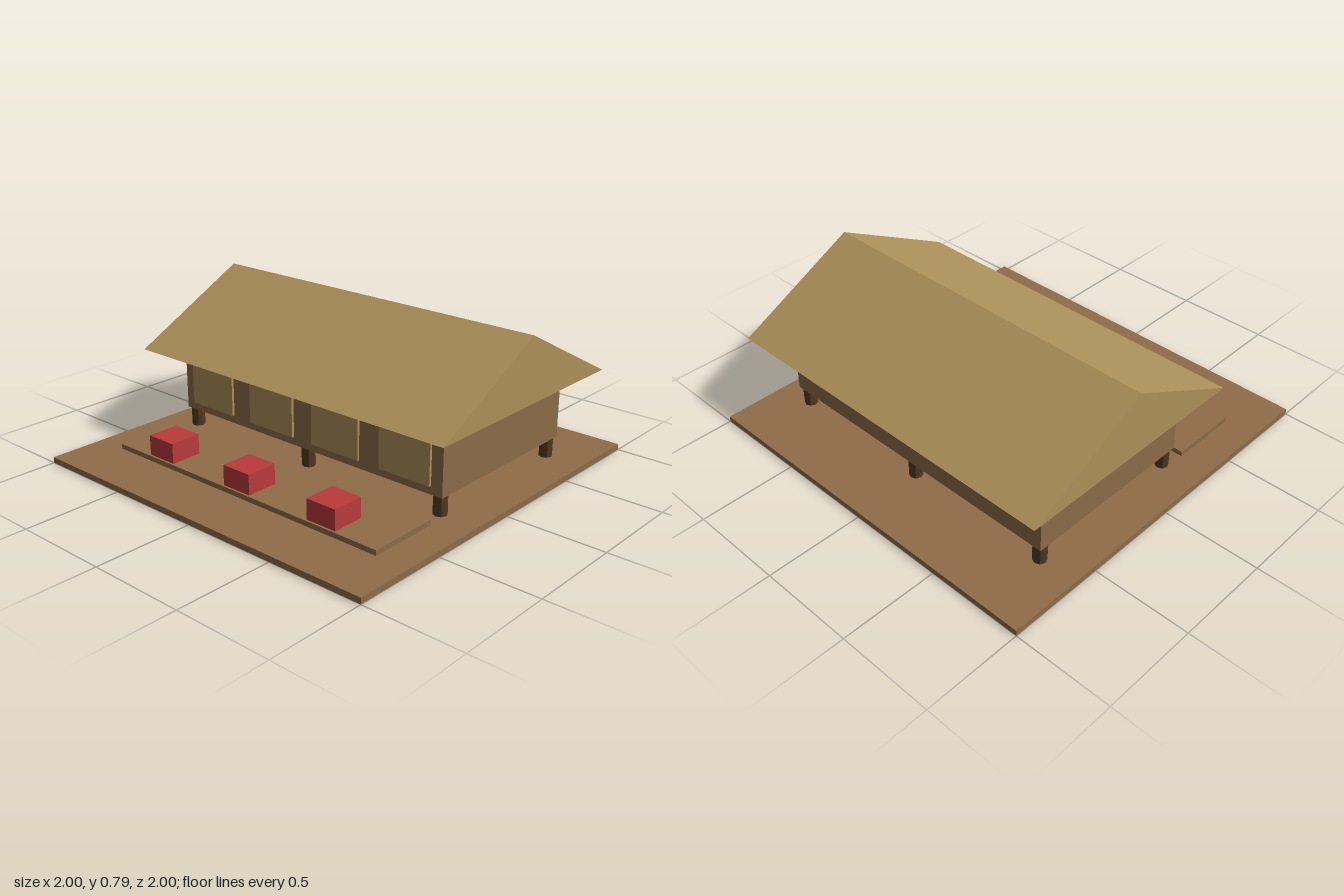
import * as THREE from 'three';

const mat = (name, color) => {
  const m = new THREE.MeshStandardMaterial({ color });
  m.name = name;
  return m;
};

export function createModel() {
  const wood = mat('brown wood', 0x8f6d49);
  const thatch = mat('straw', 0xb0935b);
  const darkWood = mat('dark wood', 0x543a22);
  const red = mat('red', 0xbb3b3c);

  const model = new THREE.Group();
  model.name = 'stiltHouse';

  const add = (name, geometry, material) => {
    const mesh = new THREE.Mesh(geometry, material);
    mesh.name = name;
    model.add(mesh);
    return mesh;
  };
  // Box given by its minimum and maximum on each axis
  const box = (name, material, [x0, x1], [y0, y1], [z0, z1]) =>
    add(name, new THREE.BoxGeometry(x1 - x0, y1 - y0, z1 - z0), material)
      .position.set((x0 + x1) / 2, (y0 + y1) / 2, (z0 + z1) / 2);

  // Ground slab, front deck and raised house body
  box('groundSlab', wood, [-1, 1], [0, 0.03], [-1, 1]);
  box('frontDeck', wood, [-0.832, 0.832], [0.03, 0.056], [0.338, 0.708]);
  box('houseBody', wood, [-0.832, 0.832], [0.128, 0.46], [-0.673, 0.262]);

  // Closed gable roof, its ridge running along x
  const gable = new THREE.Shape([
    new THREE.Vector2(-0.642, 0),
    new THREE.Vector2(0.642, 0),
    new THREE.Vector2(0, 0.33),
  ]);
  const roofGeometry = new THREE.ExtrudeGeometry(gable, { depth: 1.91, bevelEnabled: false });
  roofGeometry.translate(0, 0, -0.955).rotateY(Math.PI / 2);
  add('gableRoof', roofGeometry, thatch).position.set(0, 0.46, -0.208);

  // Window screens across the front wall
  for (const x of [-0.624, -0.208, 0.208, 0.624]) {
    box('windowScreen', thatch, [x - 0.145, x + 0.145], [0.17, 0.376], [0.262, 0.275]);
  }

  // Stilts in two rows of three
  for (const x of [-0.797, 0, 0.797]) {
    for (const z of [0.226, -0.637]) {
      const geometry = new THREE.CylinderGeometry(0.034, 0.034, 0.13, 8).toNonIndexed();
      geometry.computeVertexNormals();
      add('stilt', geometry, darkWood).position.set(x, 0.07, z);
    }
  }

  // Red seats just above the deck
  for (const x of [-0.522, 0, 0.522]) {
    box('seat', red, [x - 0.083, x + 0.083], [0.064, 0.166], [0.542, 0.708]);
  }

  return model;
}
